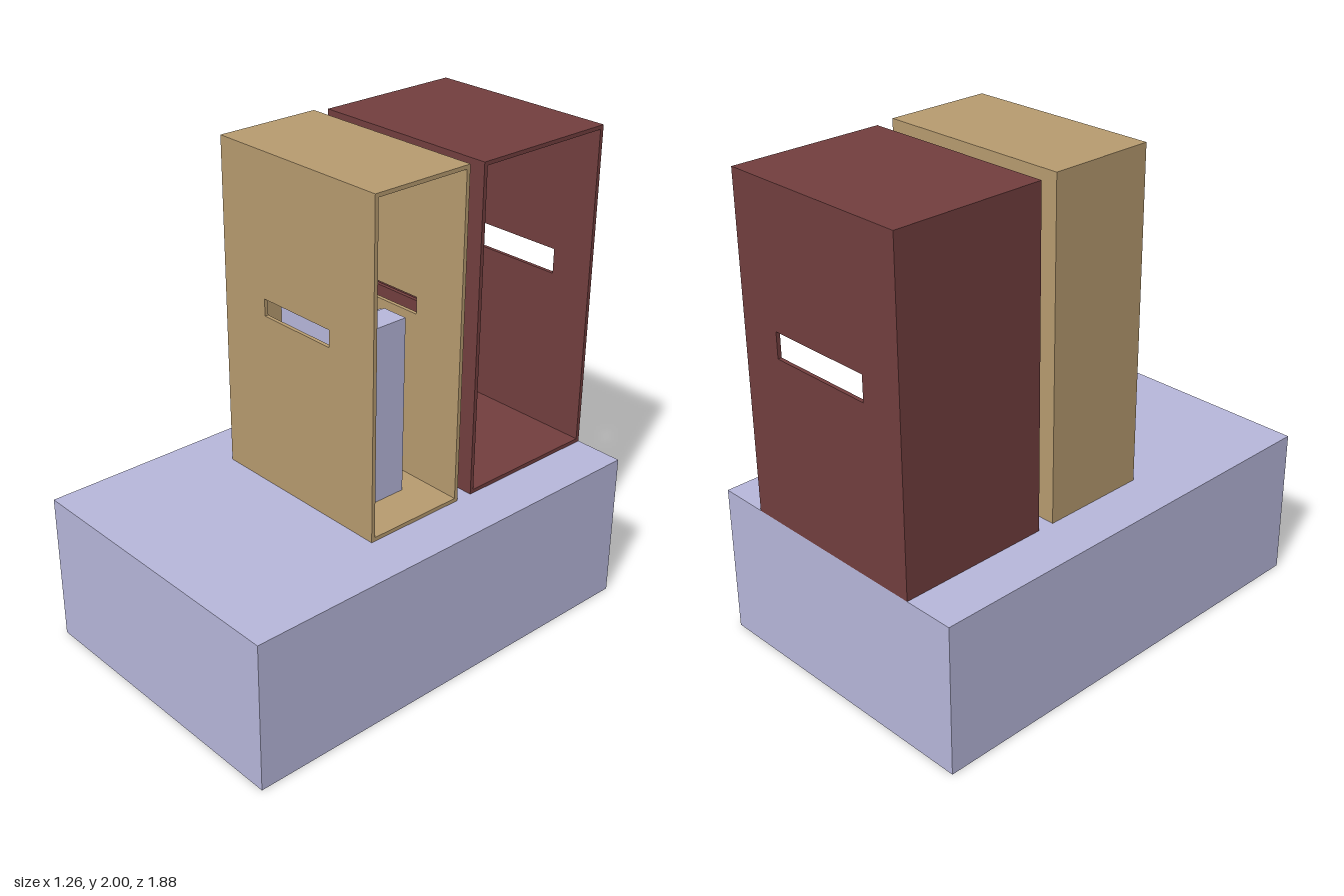
import * as THREE from 'three';

const WALL = 0.016;
const BASE_TOP = 0.63;

const material = (color) => new THREE.MeshStandardMaterial({ color });

function addMesh(parent, name, geometry, mat, x = 0, y = 0, z = 0) {
  const mesh = new THREE.Mesh(geometry, mat);
  mesh.name = name;
  mesh.position.set(x, y, z);
  parent.add(mesh);
}

// Upright panel with a horizontal slot; y runs from 0 to h, z from 0 to WALL
function slottedPanel(w, h, slot) {
  const shape = new THREE.Shape([
    new THREE.Vector2(-w / 2, 0), new THREE.Vector2(w / 2, 0),
    new THREE.Vector2(w / 2, h), new THREE.Vector2(-w / 2, h),
  ]);
  const low = slot.low - BASE_TOP, high = slot.high - BASE_TOP, s = slot.half;
  shape.holes.push(new THREE.Path([
    new THREE.Vector2(-s, low), new THREE.Vector2(-s, high),
    new THREE.Vector2(s, high), new THREE.Vector2(s, low),
  ]));
  return new THREE.ExtrudeGeometry(shape, { depth: WALL, bevelEnabled: false });
}

// Thin-walled case, open on its +x side, with slots in front and back walls
function slottedCase(name, { width, top, front, back, color, frontSlot, backSlot }) {
  const group = new THREE.Group();
  group.name = name;
  const mat = material(color);
  const h = top - BASE_TOP;
  const midZ = (front + back) / 2;
  const innerDepth = front - back - 2 * WALL;
  addMesh(group, 'frontWall', slottedPanel(width, h, frontSlot), mat, 0, BASE_TOP, front - WALL);
  addMesh(group, 'backWall', slottedPanel(width, h, backSlot), mat, 0, BASE_TOP, back);
  const plate = new THREE.BoxGeometry(width, WALL, innerDepth);
  addMesh(group, 'floor', plate, mat, 0, BASE_TOP + WALL / 2, midZ);
  addMesh(group, 'roof', plate, mat, 0, top - WALL / 2, midZ);
  addMesh(group, 'sideWall', new THREE.BoxGeometry(WALL, h - 2 * WALL, innerDepth), mat,
    -width / 2 + WALL / 2, BASE_TOP + h / 2, midZ);
  return group;
}

// Inner block with a shallow notch across its top
function notchedBlock(half, bottom, top, depth) {
  const right = [[half, bottom], [half, top], [0.12, top], [0.115, 1.378], [0.1, 1.378], [0.098, 1.365]];
  const left = right.map(([x, y]) => [-x, y]).reverse();
  const shape = new THREE.Shape([...right, ...left].map(([x, y]) => new THREE.Vector2(x, y)));
  return new THREE.ExtrudeGeometry(shape, { depth, bevelEnabled: false });
}

export function createModel() {
  const model = new THREE.Group();
  const lavender = material(0xb8b8dc);

  addMesh(model, 'base', new THREE.BoxGeometry(1.26, BASE_TOP, 1.884), lavender, 0, BASE_TOP / 2, 0);

  const narrowSlot = { low: 1.35, high: 1.42, half: 0.183 };
  const wideSlot = { low: 1.33, high: 1.435, half: 0.232 };

  model.add(slottedCase('frontCase', {
    width: 0.836, top: 2, front: 0.226, back: -0.226, color: 0xb89c70,
    frontSlot: narrowSlot, backSlot: narrowSlot,
  }));
  model.add(slottedCase('rearCase', {
    width: 0.836, top: 1.99, front: -0.298, back: -0.942, color: 0x733f3f,
    frontSlot: narrowSlot, backSlot: wideSlot,
  }));

  addMesh(model, 'innerBlock', notchedBlock(0.235, BASE_TOP + WALL, 1.386, 0.208), lavender, 0, 0, -0.104);
  return model;
}
